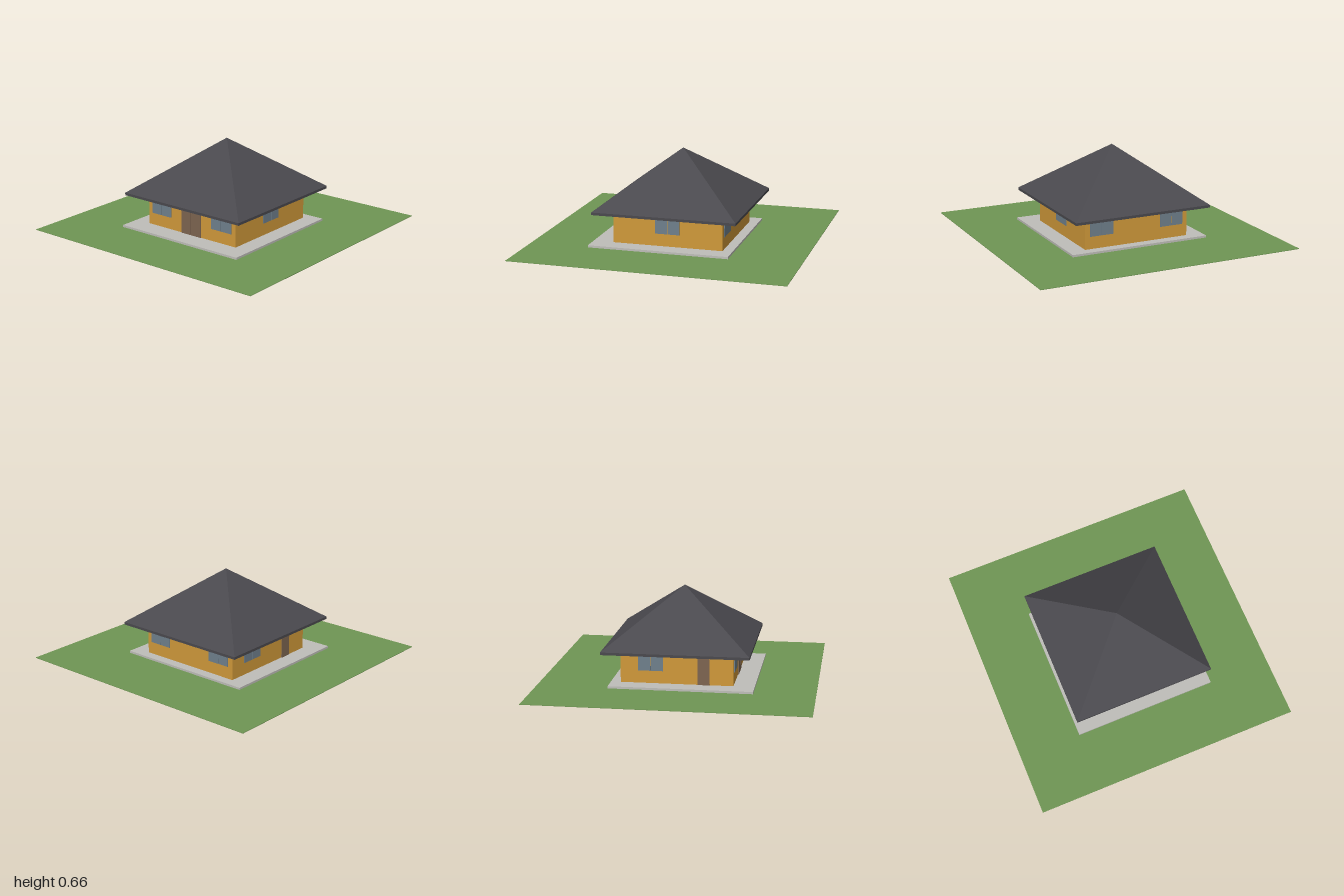
import * as THREE from 'three';

export function createModel() {
  const model = new THREE.Group();
  model.name = 'house';

  const paint = (name, color) => {
    const m = new THREE.MeshStandardMaterial({ color });
    m.name = name;
    return m;
  };
  const grass = paint('grass green', 0x6f9654);
  const concrete = paint('concrete grey', 0xbfbeb9);
  const ochre = paint('ochre wall', 0xd0993a);
  const slate = paint('slate roof', 0x4a494e);
  const glass = paint('window glass', 0x6f808c);
  const wood = paint('door brown', 0x7d6550);

  // Box given by its x, y and z ranges
  const box = (parent, name, mat, [x0, x1], [y0, y1], [z0, z1]) => {
    const mesh = new THREE.Mesh(new THREE.BoxGeometry(x1 - x0, y1 - y0, z1 - z0), mat);
    mesh.position.set((x0 + x1) / 2, (y0 + y1) / 2, (z0 + z1) / 2);
    mesh.name = name;
    parent.add(mesh);
  };

  const W = 0.408; // half width of the walls
  box(model, 'lawn', grass, [-1, 1], [0, 0.004], [-1, 1]);
  box(model, 'terrace', concrete, [-0.56, 0.48], [0.004, 0.02], [-0.535, 0.535]);
  box(model, 'walls', ochre, [-W, W], [0.02, 0.246], [-W, W]);

  // Hipped roof: flat eaves board and a four-sided pyramid
  const eave = 0.532;
  box(model, 'eaves', slate, [-eave, eave], [0.246, 0.265], [-eave, eave]);
  const pyramid = new THREE.ConeGeometry(eave * Math.SQRT2, 0.398, 4, 1, true)
    .rotateY(Math.PI / 4).toNonIndexed();
  pyramid.computeVertexNormals();
  const roof = new THREE.Mesh(pyramid, slate);
  roof.position.y = 0.464;
  roof.name = 'roof';
  model.add(roof);

  // Each wall's openings are laid out facing +z, then turned into place
  const wallGroup = (name, angle) => {
    const g = new THREE.Group();
    g.name = name;
    g.rotation.y = angle;
    model.add(g);
    return g;
  };
  const depth = [W - 0.002, W + 0.006];
  const addWindow = (g, cx) => {
    for (const s of [-1, 1]) {
      const a = cx + s * 0.002, b = cx + s * 0.09;
      box(g, 'windowPane', glass, [Math.min(a, b), Math.max(a, b)], [0.112, 0.234], depth);
    }
  };
  const addDoor = (g, x0, x1) => box(g, 'doorLeaf', wood, [x0, x1], [0.02, 0.234], depth);

  const front = wallGroup('frontOpenings', 0);
  addWindow(front, 0);

  const left = wallGroup('leftOpenings', Math.PI / 2);
  for (const s of [-1, 1]) addWindow(left, s * 0.28);

  const back = wallGroup('backOpenings', Math.PI);
  addWindow(back, -0.19);
  addDoor(back, 0.15, 0.235);

  const right = wallGroup('rightOpenings', -Math.PI / 2);
  for (const s of [-1, 1]) addWindow(right, s * 0.28);
  addDoor(right, -0.09, -0.002);
  addDoor(right, 0.002, 0.09);

  return model;
}
